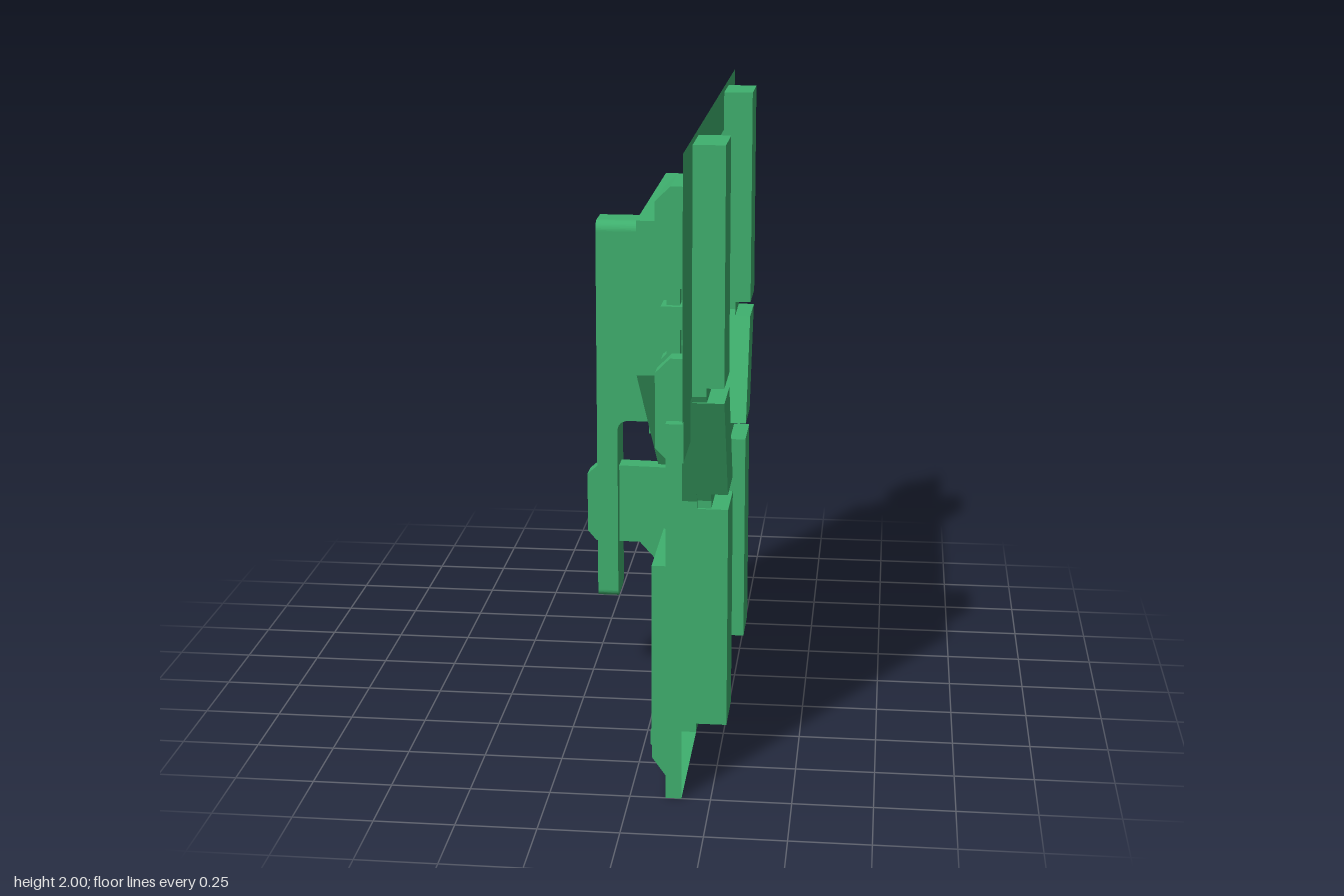
import * as THREE from 'three';

const material = new THREE.MeshStandardMaterial({ color: 0x3fb06e, flatShading: true, side: THREE.DoubleSide });

function add(group, name, geometry) {
  const mesh = new THREE.Mesh(geometry, material);
  mesh.name = name;
  group.add(mesh);
  return mesh;
}

const polygon = (pts) => new THREE.Shape(pts.map(([a, b]) => new THREE.Vector2(a, b)));
const rect = (a0, a1, b0, b1) => [[a0, b0], [a1, b0], [a1, b1], [a0, b1]];
// Completes a half outline [z, y] by mirroring it across z = 0
const mirrored = (half) => [...half, ...half.slice().reverse().map(([z, y]) => [-z, y])];

// Thin sheet in the z-y plane at a given x
function sheet(x, outline, hole) {
  const shape = polygon(outline);
  if (hole) shape.holes.push(polygon(hole));
  return new THREE.ShapeGeometry(shape).rotateY(-Math.PI / 2).translate(x, 0, 0);
}

// Solid with a z-y outline, running from x0 to x1
function slab(x0, x1, shape) {
  return new THREE.ExtrudeGeometry(shape, { depth: x1 - x0, bevelEnabled: false, curveSegments: 6 })
    .rotateY(-Math.PI / 2).translate(x1, 0, 0);
}

// Solid with an x-y profile, running from z0 to z1
function profile(z0, z1, shape) {
  return new THREE.ExtrudeGeometry(shape, { depth: z1 - z0, bevelEnabled: false, curveSegments: 6 })
    .translate(0, 0, z0);
}

// Walls between successive sections of [x, y, z] points
function loft(sections, closed = true) {
  const out = [];
  for (let i = 0; i < sections.length - 1; i++) {
    const a = sections[i], b = sections[i + 1], n = a.length;
    for (let j = 0; j < (closed ? n : n - 1); j++) {
      const k = (j + 1) % n;
      out.push(...a[j], ...b[j], ...b[k], ...a[j], ...b[k], ...a[k]);
    }
  }
  const g = new THREE.BufferGeometry();
  g.setAttribute('position', new THREE.Float32BufferAttribute(out, 3));
  g.computeVertexNormals();
  return g;
}
const at = (x, outline) => outline.map(([z, y]) => [x, y, z]);

// Upright rectangle with rounded top corners and optionally rounded bottom ones
function roundedStrip(w, y0, y1, rTop, rBottom = 0) {
  const s = new THREE.Shape();
  s.moveTo(-w + rBottom, y0).lineTo(w - rBottom, y0);
  if (rBottom) s.absarc(w - rBottom, y0 + rBottom, rBottom, -Math.PI / 2, 0);
  s.lineTo(w, y1 - rTop).absarc(w - rTop, y1 - rTop, rTop, 0, Math.PI / 2);
  s.lineTo(-w + rTop, y1).absarc(-w + rTop, y1 - rTop, rTop, Math.PI / 2, Math.PI);
  s.lineTo(-w, y0 + rBottom);
  if (rBottom) s.absarc(-w + rBottom, y0 + rBottom, rBottom, Math.PI, Math.PI * 1.5);
  return s;
}

function centre(group) {
  // Pressed centre recess, with a deeper tapered pan inside it
  const recess = (top, bottom) => mirrored([[0.5, top], [0.5, 1.2], [0.3, 0.8], [0.3, bottom]]);
  const rim = mirrored([[0.45, 1.7], [0.45, 1.2], [0.27, 0.85]]);
  add(group, 'recessWalls', loft([at(0.16, recess(1.85, 0)), at(0.11, recess(1.8, 0)), at(0.06, recess(1.75, 0.1))]));
  add(group, 'recessPanel', sheet(0.06, recess(1.75, 0.1), rim));
  const floor = rim.map(([z, y]) => [y < 1 ? 0.01 : -0.04, y, z]);
  add(group, 'panWalls', loft([at(0.06, rim), floor]));
  add(group, 'panFloor', sheet(-0.04, mirrored([[0.45, 1.7], [0.45, 1.2]])));
  add(group, 'panSlope', loft([[floor[1], floor[4]], [floor[2], floor[3]]], false));

  // Raised mounting pads on the open side
  add(group, 'handlePad', slab(-0.04, 0.015, roundedStrip(0.1, 0.905, 1.65, 0.04)));
  add(group, 'bracketPad', slab(0.06, 0.09, polygon(rect(-0.045, 0.045, 0.32, 0.775))));

  // Handle with a hanging grip
  add(group, 'handleBlock', slab(-0.15, 0, roundedStrip(0.078, 0.94, 1.625, 0.035)));
  add(group, 'handleGrip', slab(-0.22, -0.15, roundedStrip(0.078, 0.305, 1.625, 0.035, 0.025)));
  const fillet = new THREE.Shape();
  fillet.moveTo(-0.15, 0.94).lineTo(-0.15, 0.9).quadraticCurveTo(-0.15, 0.94, -0.11, 0.94);
  add(group, 'handleFillet', profile(-0.078, 0.078, fillet));

  // Bracket holding the lower end of the grip
  add(group, 'gripBracket', profile(-0.035, 0.035, polygon([
    [0.06, 0.765], [-0.22, 0.77], [-0.26, 0.735], [-0.26, 0.53], [-0.23, 0.495], [-0.08, 0.495], [0.06, 0.34]])));
}

function vent(group) {
  const outer = (bottom) => rect(0.575, 0.925, bottom, 0.73);
  const opening = rect(0.61, 0.89, 0.14, 0.715);
  add(group, 'ventWalls', loft([at(0.11, outer(0.03)), at(0.06, outer(0.1))]));
  add(group, 'ventFrame', sheet(0.06, outer(0.1), opening));
  add(group, 'ventOpening', loft([at(0.06, opening), at(0.1, opening)]));
  // Louvres as one saw-toothed sheet
  const rows = [], count = 20, y0 = 0.16, pitch = (0.7 - y0) / count;
  const row = (x, y) => rows.push([[x, y, 0.61], [x, y, 0.89]]);
  row(0.085, 0.14);
  for (let i = 0; i < count; i++) {
    row(0.08, y0 + i * pitch);
    row(0.103, y0 + (i + 0.25) * pitch);
  }
  row(0.08, 0.7);
  row(0.085, 0.715);
  add(group, 'louvres', loft(rows, false));
  // Catch at the foot of the vent
  add(group, 'ventCatch', profile(0.695, 0.805, polygon([
    [0.085, 0.145], [0.05, 0.145], [0.042, 0.13], [0.042, 0.09], [0.085, 0.045]])));
}

function latch(group) {
  // Chamfered housings, each notched where the rod enters
  const housing = (y0, y1, notchTop) => {
    const outline = polygon([[0.16, y0], [0.12, y0], [0.075, y0 + 0.045], [0.075, y1 - 0.045], [0.12, y1], [0.16, y1]]);
    const c = 0.09, n0 = notchTop ? y0 : y0 + c, n1 = notchTop ? y1 - c : y1;
    const middle = polygon(notchTop
      ? [[0.16, n0], [0.12, n0], [0.075, n0 + 0.045], [0.075, n1], [0.16, n1]]
      : [[0.16, n0], [0.075, n0], [0.075, n1 - 0.045], [0.12, n1], [0.16, n1]]);
    add(group, 'latchHousingInner', profile(0.735, 0.8, outline));
    add(group, 'latchHousingMiddle', profile(0.8, 0.9, middle));
    add(group, 'latchHousingOuter', profile(0.9, 0.965, outline));
  };
  housing(1.6, 1.9, false);
  housing(1.07, 1.39, true);
  add(group, 'latchRod', slab(0.1, 0.14, polygon(rect(0.825, 0.875, 1.28, 1.71))));
  add(group, 'latchClamp', slab(0.085, 0.16, polygon(rect(0.805, 0.895, 1.46, 1.53))));
}

function side(group) {
  // Lower side bay, pressed back
  const bay = [[1, 1.2], [0.7, 1.2], [0.5, 0.8], [0.5, 0], [1, 0]];
  add(group, 'bayWalls', loft([at(0.16, bay), at(0.11, bay)]));
  add(group, 'bayPanel', sheet(0.11, bay, rect(0.575, 0.925, 0.03, 0.73)));

  // Cranked rib in three segments over a narrower core
  const segments = {
    upperRib: rect(0.5, 0.7, 1.23, 1.98),
    slantedRib: [[0.315, 0.83], [0.515, 0.83], [0.69, 1.18], [0.49, 1.18]],
    lowerRib: rect(0.3, 0.5, 0.03, 0.775),
  };
  for (const [name, pts] of Object.entries(segments)) add(group, name, slab(0.16, 0.26, polygon(pts)));
  add(group, 'ribCore', slab(0.16, 0.205, polygon([
    [0.31, 0.04], [0.49, 0.04], [0.49, 0.8], [0.69, 1.2], [0.69, 1.97], [0.51, 1.97], [0.51, 1.2], [0.31, 0.8]])));
  vent(group);
  latch(group);
}

export function createModel() {
  const model = new THREE.Group();
  model.name = 'wallPanel';

  // Base sheet, cut around the recess and the side bays
  add(model, 'baseSheet', sheet(0.16, mirrored([
    [0.5, 1.85], [0.5, 1.2], [0.3, 0.8], [0.3, 0], [0.5, 0], [0.5, 0.8], [0.7, 1.2], [1, 1.2], [1, 2]])));

  const middle = new THREE.Group();
  middle.name = 'centre';
  centre(middle);
  model.add(middle);

  for (const s of [1, -1]) {
    const half = new THREE.Group();
    half.name = s > 0 ? 'frontHalf' : 'backHalf';
    side(half);
    half.scale.z = s;
    model.add(half);
  }
  return model;
}
